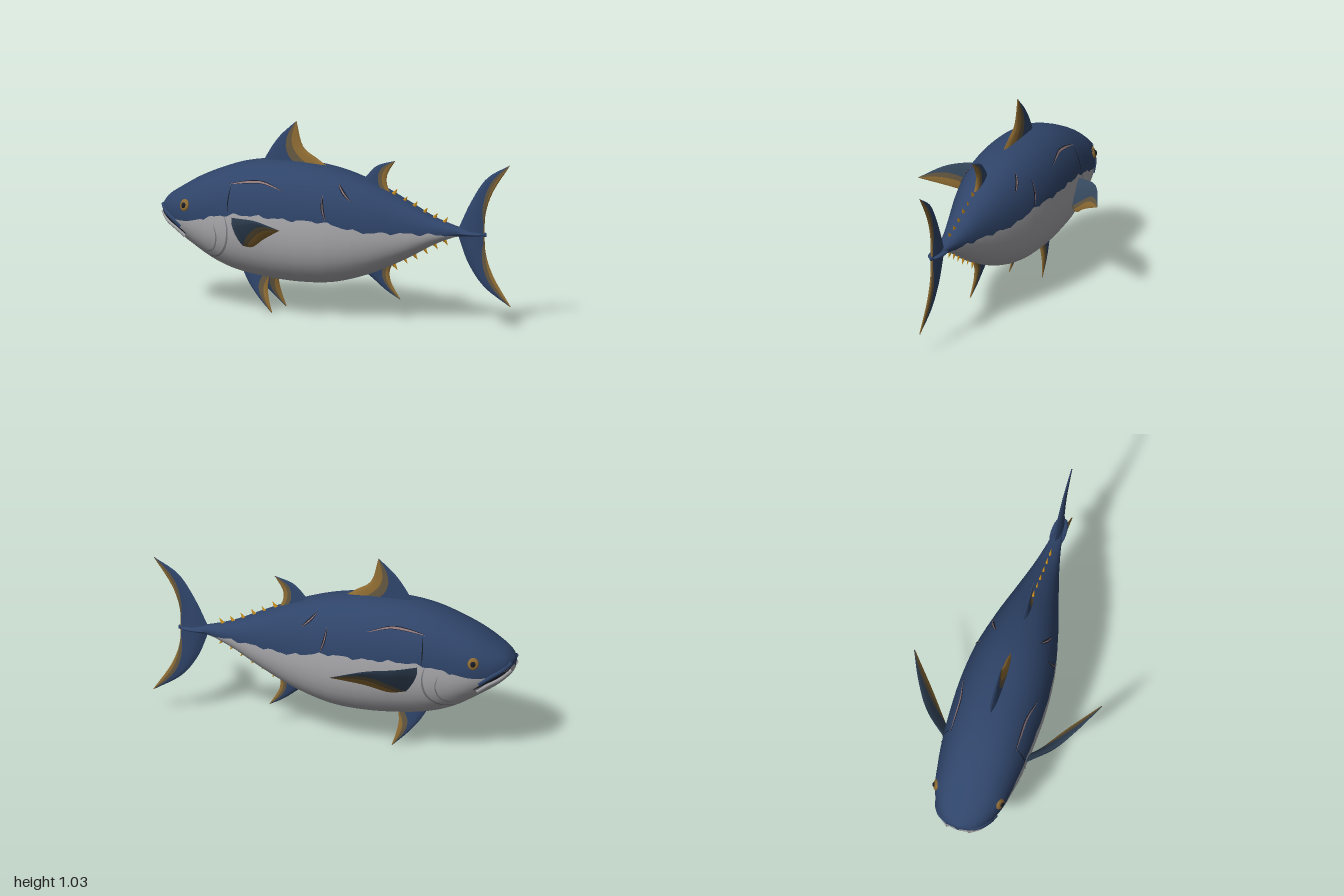
import * as THREE from 'three';

const mat = (name, color) => {
  const m = new THREE.MeshStandardMaterial({ color, side: THREE.DoubleSide });
  m.name = name;
  return m;
};
const V = (x, y, z = 0) => new THREE.Vector3(x, y, z);
const clamp = THREE.MathUtils.clamp, lerp = THREE.MathUtils.lerp;

// Body stations: x, top, bottom, half width, height of the colour line
const stations = [
  [-1.0, 0.545, 0.505, 0.012, 0.522], [-0.99, 0.562, 0.475, 0.06, 0.518], [-0.96, 0.595, 0.44, 0.105, 0.51],
  [-0.9, 0.635, 0.39, 0.15, 0.485], [-0.8, 0.695, 0.325, 0.19, 0.485], [-0.68, 0.75, 0.255, 0.213, 0.515],
  [-0.55, 0.795, 0.21, 0.23, 0.545], [-0.4, 0.82, 0.186, 0.24, 0.555], [-0.2, 0.824, 0.175, 0.243, 0.55],
  [0.0, 0.8, 0.19, 0.225, 0.548], [0.2, 0.742, 0.25, 0.178, 0.505], [0.4, 0.655, 0.345, 0.117, 0.502],
  [0.55, 0.585, 0.43, 0.072, 0.5], [0.68, 0.545, 0.485, 0.04, 0.497], [0.76, 0.532, 0.493, 0.026, 0.494],
  [0.86, 0.522, 0.5, 0.006, 0.5],
];
const POWER = 2.25, RINGS = 110, ARC = 20;
const curveA = new THREE.CatmullRomCurve3(stations.map(s => V(s[0], s[1], s[2])), false, 'catmullrom', 0.5);
const curveB = new THREE.CatmullRomCurve3(stations.map(s => V(s[0], s[3], s[4])), false, 'catmullrom', 0.5);
const rings = Array.from({ length: RINGS + 1 }, (_, i) => {
  const a = curveA.getPoint(i / RINGS), b = curveB.getPoint(i / RINGS);
  const ripple = a.x > -0.7 && a.x < 0.65 ? 0.006 * Math.sin(a.x * 47) + 0.004 * Math.sin(a.x * 83) : 0;
  return { x: a.x, c: (a.y + a.z) / 2, h: (a.y - a.z) / 2, w: b.y, line: b.z + ripple };
});
const bend = v => Math.sign(v) * Math.abs(v) ** (2 / POWER);

// Half width of the body at a given x and y
function flank(x, y) {
  const i = clamp(rings.findIndex(r => r.x >= x), 1, RINGS);
  const p = rings[i - 1], q = rings[i], t = clamp((x - p.x) / (q.x - p.x), 0, 1);
  const s = clamp(Math.abs(y - lerp(p.c, q.c, t)) / lerp(p.h, q.h, t), 0, 1);
  return lerp(p.w, q.w, t) * (1 - s ** POWER) ** (1 / POWER);
}

// Smooth loft, split along the colour line into back and belly
function bodyGeometry() {
  const pos = [], upper = [], lower = [], n = ARC * 2;
  rings.forEach((r, i) => {
    const s = clamp((r.line - r.c) / r.h, -0.95, 0.95);
    const a = Math.asin(Math.sign(s) * Math.abs(s) ** (POWER / 2));
    for (let j = 0; j < n; j++) {
      const t = j < ARC ? lerp(a, Math.PI - a, j / ARC) : lerp(Math.PI - a, 2 * Math.PI + a, j / ARC - 1);
      pos.push(r.x, r.c + r.h * bend(Math.sin(t)), r.w * bend(Math.cos(t)));
      if (i === RINGS) continue;
      const p = i * n + j, q = i * n + (j + 1) % n;
      (j < ARC ? upper : lower).push(p, p + n, q, q, p + n, q + n);
    }
  });
  const end = RINGS * n;
  for (let j = 1; j < n - 1; j++) {
    upper.push(0, j, j + 1, end, end + j + 1, end + j);
  }
  const g = new THREE.BufferGeometry();
  g.setAttribute('position', new THREE.Float32BufferAttribute(pos, 3));
  g.setIndex([...upper, ...lower]);
  g.addGroup(0, upper.length, 0);
  g.addGroup(upper.length, lower.length, 1);
  g.computeVertexNormals();
  return g;
}

// Lens-shaped fin between a leading and a trailing edge, in three colour bands.
// first and second give the band limits across the chord at the root and the tip.
function finGeometry(lead, trail, thick, first, second) {
  const L = new THREE.CatmullRomCurve3(lead), T = new THREE.CatmullRomCurve3(trail);
  const rows = 16, per = 5, cols = per * 3, pos = [], bands = [[], [], []];
  const normal = lead.at(-1).clone().sub(lead[0]).cross(trail[0].clone().sub(lead[0])).normalize();
  for (const side of [1, -1]) {
    const base = pos.length / 3;
    for (let i = 0; i <= rows; i++) {
      const u = i / rows, a = L.getPoint(u), b = T.getPoint(u);
      const s1 = clamp(lerp(...first, u), 0.03, 0.96), s2 = clamp(lerp(...second, u), s1 + 0.01, 0.98);
      const stops = [0, s1, s2, 1];
      for (let j = 0; j <= cols; j++) {
        const k = Math.min(Math.floor(j / per), 2), v = lerp(stops[k], stops[k + 1], j / per - k);
        const d = side * thick * (1 - 0.85 * u) * Math.sqrt(Math.max(0, 4 * v * (1 - v)));
        pos.push(...a.clone().lerp(b, v).addScaledVector(normal, d).toArray());
        if (i === rows || j === cols) continue;
        const p = base + i * (cols + 1) + j, q = p + cols + 1;
        bands[k].push(...(side > 0 ? [p, q, p + 1, p + 1, q, q + 1] : [p, p + 1, q, p + 1, q + 1, q]));
      }
    }
  }
  const g = new THREE.BufferGeometry();
  g.setAttribute('position', new THREE.Float32BufferAttribute(pos, 3));
  g.setIndex(bands.flat());
  let start = 0;
  bands.forEach((b, k) => { g.addGroup(start, b.length, k); start += b.length; });
  g.computeVertexNormals();
  return g;
}

// Tapered thin strip that hugs the left flank
function stripGeometry(points, width, lift = 0.004) {
  const c = new THREE.CatmullRomCurve3(points.map(p => V(...p))), pos = [], idx = [], n = 24;
  for (let i = 0; i <= n; i++) {
    const p = c.getPoint(i / n), t = c.getTangent(i / n), w = width * Math.sin(Math.PI * lerp(0.06, 0.94, i / n));
    for (const s of [1, -1]) {
      const x = p.x - t.y * w * s, y = p.y + t.x * w * s;
      pos.push(x, y, flank(x, y) + lift);
    }
    if (i < n) idx.push(2 * i, 2 * i + 1, 2 * i + 2, 2 * i + 1, 2 * i + 3, 2 * i + 2);
  }
  const g = new THREE.BufferGeometry();
  g.setAttribute('position', new THREE.Float32BufferAttribute(pos, 3));
  g.setIndex(idx);
  g.computeVertexNormals();
  return g;
}

export function createModel() {
  const navy = mat('navy back', 0x2f4469), belly = mat('pale belly', 0xa9a9ad);
  const teal = mat('fin slate', 0x36495f), bronze = mat('fin bronze', 0x62563f), gold = mat('fin gold', 0x8c6a32);
  const amber = mat('finlet amber', 0xc48a1c), scarPink = mat('scar pink', 0x8c7478);
  const crease = mat('crease grey', 0x7c7d83), dark = mat('dark', 0x171b24);
  const fish = new THREE.Group();
  fish.name = 'fish';
  const add = (name, geo, m) => {
    const mesh = new THREE.Mesh(geo, m);
    mesh.name = name;
    fish.add(mesh);
    return mesh;
  };
  const pair = (name, geo, m, place = () => {}) => {
    for (const s of [1, -1]) {
      const mesh = new THREE.Mesh(geo, m), side = new THREE.Group();
      place(mesh);
      side.name = (s > 0 ? 'left ' : 'right ') + name;
      side.scale.z = s;
      side.add(mesh);
      fish.add(side);
    }
  };
  const path = pts => pts.map(p => V(...p));

  add('body', bodyGeometry(), [navy, belly]);

  // Fins on the centre line
  const fin = (name, lead, trail, thick, a, b) =>
    add(name, finGeometry(path(lead), path(trail), thick, a, b), [navy, bronze, gold]);
  fin('firstDorsalFin', [[-0.45, 0.77], [-0.41, 0.85], [-0.34, 0.95], [-0.245, 1.038]],
    [[-0.02, 0.78], [-0.12, 0.845], [-0.2, 0.9], [-0.242, 1.035]], 0.024, [0.6, 0.15], [0.8, 0.4]);
  fin('secondDorsalFin', [[0.12, 0.72], [0.165, 0.775], [0.225, 0.835], [0.33, 0.87]],
    [[0.32, 0.67], [0.285, 0.735], [0.285, 0.79], [0.33, 0.868]], 0.02, [0.8, 0.2], [0.95, 0.5]);
  fin('analFin', [[0.13, 0.27], [0.2, 0.222], [0.28, 0.162], [0.36, 0.118]],
    [[0.33, 0.34], [0.3, 0.27], [0.305, 0.215], [0.36, 0.12]], 0.02, [0.8, 0.2], [0.95, 0.5]);
  fin('upperTailLobe', [[0.69, 0.515], [0.775, 0.69], [0.865, 0.82], [0.995, 0.9]],
    [[0.85, 0.505], [0.855, 0.62], [0.895, 0.74], [0.997, 0.898]], 0.02, [1.15, 0.2], [1.25, 0.55]);
  fin('lowerTailLobe', [[0.69, 0.515], [0.755, 0.35], [0.845, 0.23], [0.998, 0.13]],
    [[0.85, 0.52], [0.855, 0.42], [0.895, 0.3], [1.0, 0.133]], 0.02, [1.15, 0.2], [1.25, 0.55]);

  // Paired fins
  pair('pectoralFin', finGeometry(
    path([[-0.535, 0.53, 0.21], [-0.425, 0.56, 0.355], [-0.29, 0.575, 0.445], [-0.118, 0.555, 0.525]]),
    path([[-0.45, 0.385, 0.225], [-0.38, 0.395, 0.28], [-0.27, 0.465, 0.375], [-0.115, 0.553, 0.523]]),
    0.018, [1, 0], [1.1, 0.35]), [teal, bronze, gold]);
  pair('pelvicFin', finGeometry(
    path([[-0.53, 0.22, 0.055], [-0.49, 0.155, 0.068], [-0.43, 0.085, 0.082], [-0.345, 0.005, 0.097]]),
    path([[-0.37, 0.2, 0.065], [-0.375, 0.14, 0.075], [-0.365, 0.08, 0.087], [-0.342, 0.007, 0.097]]),
    0.016, [0.8, 0.1], [1, 0.45]), [navy, bronze, gold]);

  // Rows of finlets, leaning back towards the tail
  const finlet = new THREE.ConeGeometry(0.017, 0.052, 8).scale(1, 1, 0.65);
  for (let i = 0; i < 6; i++) {
    const x = 0.33 + i * 0.059, r = rings.find(q => q.x >= x);
    for (const s of [1, -1]) {
      const m = add(s > 0 ? 'upperFinlet' : 'lowerFinlet', finlet, amber);
      m.position.set(x, r.c + s * (r.h + 0.012), 0);
      m.rotation.z = s > 0 ? -0.6 : Math.PI + 0.6;
      m.scale.setScalar(1 - i * 0.03);
    }
  }

  // Tail keels
  pair('tailKeel', new THREE.SphereGeometry(1, 20, 12).scale(0.085, 0.012, 0.03), navy,
    m => m.position.set(0.765, 0.512, 0.012));

  // Eyes
  const ball = new THREE.SphereGeometry(1, 24, 16);
  const eye = (name, r, out, m) => pair(name, ball, m, e => {
    e.position.set(-0.815, 0.568, flank(-0.815, 0.568) + out);
    e.scale.set(r, r * 1.1, 0.012);
    e.rotation.set(-0.3, -0.35, 0);
  });
  eye('eye', 0.03, 0.001, gold);
  eye('pupil', 0.015, 0.008, dark);
  pair('eyeLid', stripGeometry([[-0.885, 0.575], [-0.85, 0.605], [-0.805, 0.612], [-0.765, 0.59]], 0.007, 0.008), navy);

  // Mouth, lips and gill cover
  pair('mouth', stripGeometry([[-0.992, 0.518], [-0.94, 0.485], [-0.88, 0.455], [-0.81, 0.41]], 0.007), dark);
  const lip = pts => new THREE.TubeGeometry(new THREE.CatmullRomCurve3(
    pts.map(([x, y]) => V(x, y, flank(x, y) - 0.004))), 30, 0.013, 8);
  pair('lowerLip', lip([[-0.988, 0.5], [-0.94, 0.465], [-0.88, 0.434], [-0.825, 0.395]]), belly);
  pair('upperLip', lip([[-0.988, 0.538], [-0.95, 0.512], [-0.9, 0.485], [-0.84, 0.445]]), navy);
  pair('gillSlit', stripGeometry([[-0.56, 0.54], [-0.545, 0.46], [-0.565, 0.37], [-0.62, 0.31], [-0.7, 0.29]], 0.006), crease);
  pair('cheekCrease', stripGeometry([[-0.63, 0.49], [-0.615, 0.42], [-0.64, 0.35], [-0.7, 0.32]], 0.004), crease);
  pair('gillShadow', stripGeometry([[-0.54, 0.7], [-0.545, 0.63], [-0.545, 0.55]], 0.003), dark);

  // Scars with dark rims
  const scars = [
    [[-0.55, 0.705], [-0.45, 0.725], [-0.36, 0.73], [-0.24, 0.7]],
    [[0.06, 0.745], [0.095, 0.705], [0.14, 0.665]],
    [[-0.01, 0.69], [0.0, 0.62], [0.02, 0.56]],
  ];
  scars.forEach((s, i) => {
    pair('scarRim', stripGeometry(s, 0.008, 0.003), dark);
    pair('scar', stripGeometry(s, i ? 0.003 : 0.005, 0.005), scarPink);
  });
  return fish;
}
